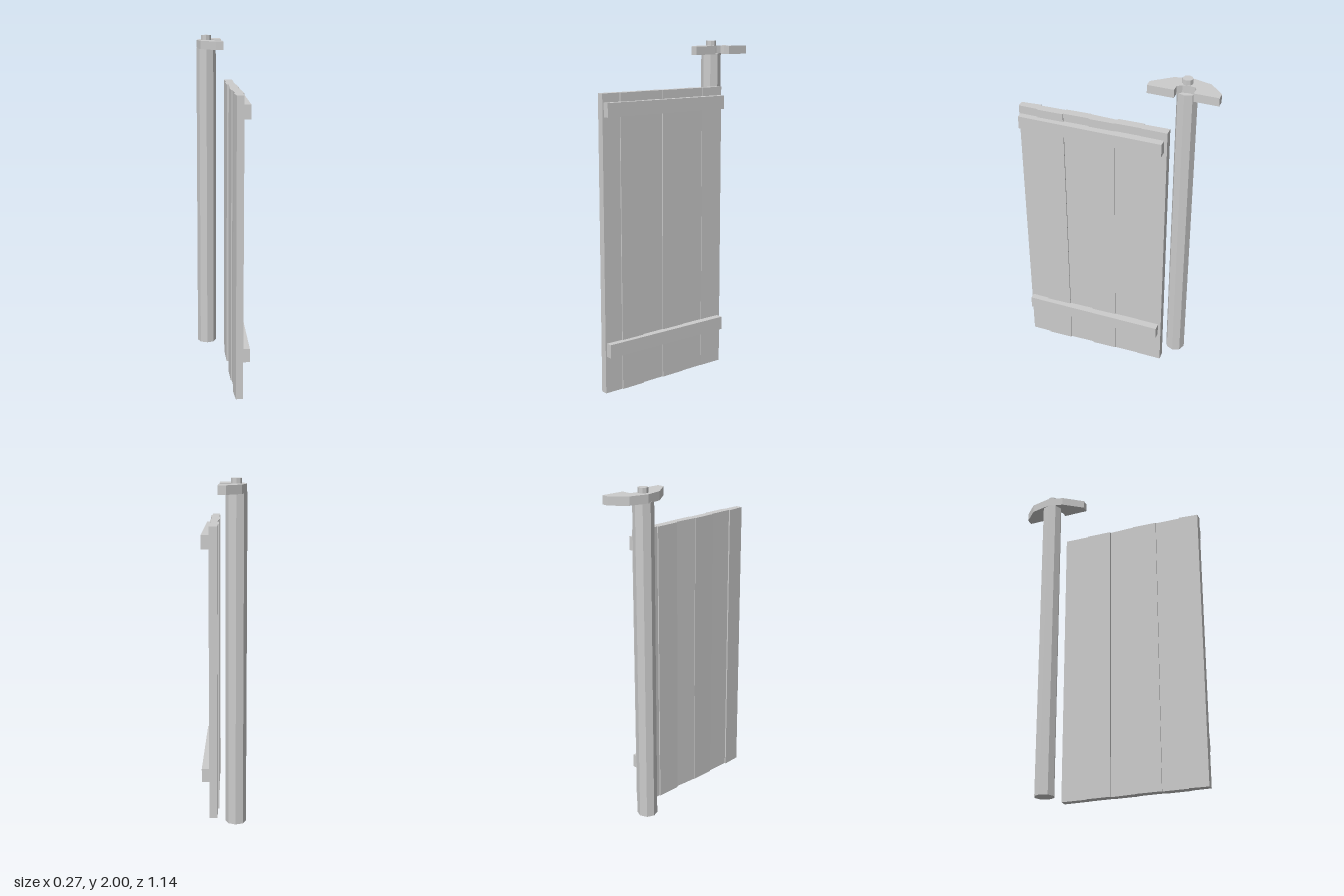
import * as THREE from 'three';

const material = new THREE.MeshStandardMaterial({ color: 0xcccccc, flatShading: true });

// Vertical prism from a plan outline of [x, z] points.
function prism(name, outline, bottom, top) {
  const shape = new THREE.Shape(outline.map(([x, z]) => new THREE.Vector2(x, -z)));
  const geometry = new THREE.ExtrudeGeometry(shape, { depth: top - bottom, bevelEnabled: false });
  geometry.rotateX(-Math.PI / 2).translate(0, bottom, 0);
  const mesh = new THREE.Mesh(geometry, material);
  mesh.name = name;
  return mesh;
}

// Octagonal upright centred on the post axis.
function octagon(name, radius, bottom, top) {
  const geometry = new THREE.CylinderGeometry(radius, radius, top - bottom, 8);
  const mesh = new THREE.Mesh(geometry, material);
  mesh.position.set(-0.075, (bottom + top) / 2, -0.37);
  mesh.name = name;
  return mesh;
}

export function createModel() {
  const model = new THREE.Group();

  // Post with a pivot pin through the crescent bracket
  model.add(octagon('post', 0.06, 0.01, 1.925));
  model.add(octagon('pivotPin', 0.03, 1.9, 2.0));
  model.add(prism('crescentBracket', [
    [-0.024, -0.575], [0.021, -0.575], [0.021, -0.432], [-0.027, -0.432],
    [-0.043, -0.42], [-0.048, -0.39], [-0.042, -0.35], [-0.022, -0.323],
    [0.021, -0.323], [0.021, -0.17], [-0.024, -0.17], [-0.112, -0.282],
    [-0.133, -0.382], [-0.106, -0.494],
  ], 1.92, 1.97));

  // Door of slightly uneven planks: back edge z, front edge z, outer face x at both, inner face x at both
  const door = new THREE.Group();
  door.name = 'door';
  const planks = [
    [-0.315, -0.163, 0.034, 0.038, 0.083, 0.084],
    [-0.163, -0.009, 0.030, 0.034, 0.081, 0.085],
    [-0.009, 0.145, 0.045, 0.040, 0.089, 0.093],
    [0.145, 0.298, 0.036, 0.042, 0.086, 0.090],
    [0.298, 0.452, 0.048, 0.053, 0.098, 0.102],
    [0.452, 0.569, 0.044, 0.054, 0.095, 0.095],
  ];
  planks.forEach(([z0, z1, a0, a1, b0, b1], i) => {
    door.add(prism(`plank${i + 1}`, [[a0, z0], [b0, z0], [b1, z1], [a1, z1]], 0, 1.73));
  });

  // Two cross battens on the inner face
  const batten = [[0.08, -0.297], [0.128, -0.297], [0.133, 0.56], [0.092, 0.56]];
  door.add(prism('lowerBatten', batten, 0.22, 0.3));
  door.add(prism('upperBatten', batten, 1.6, 1.68));
  model.add(door);

  return model;
}
